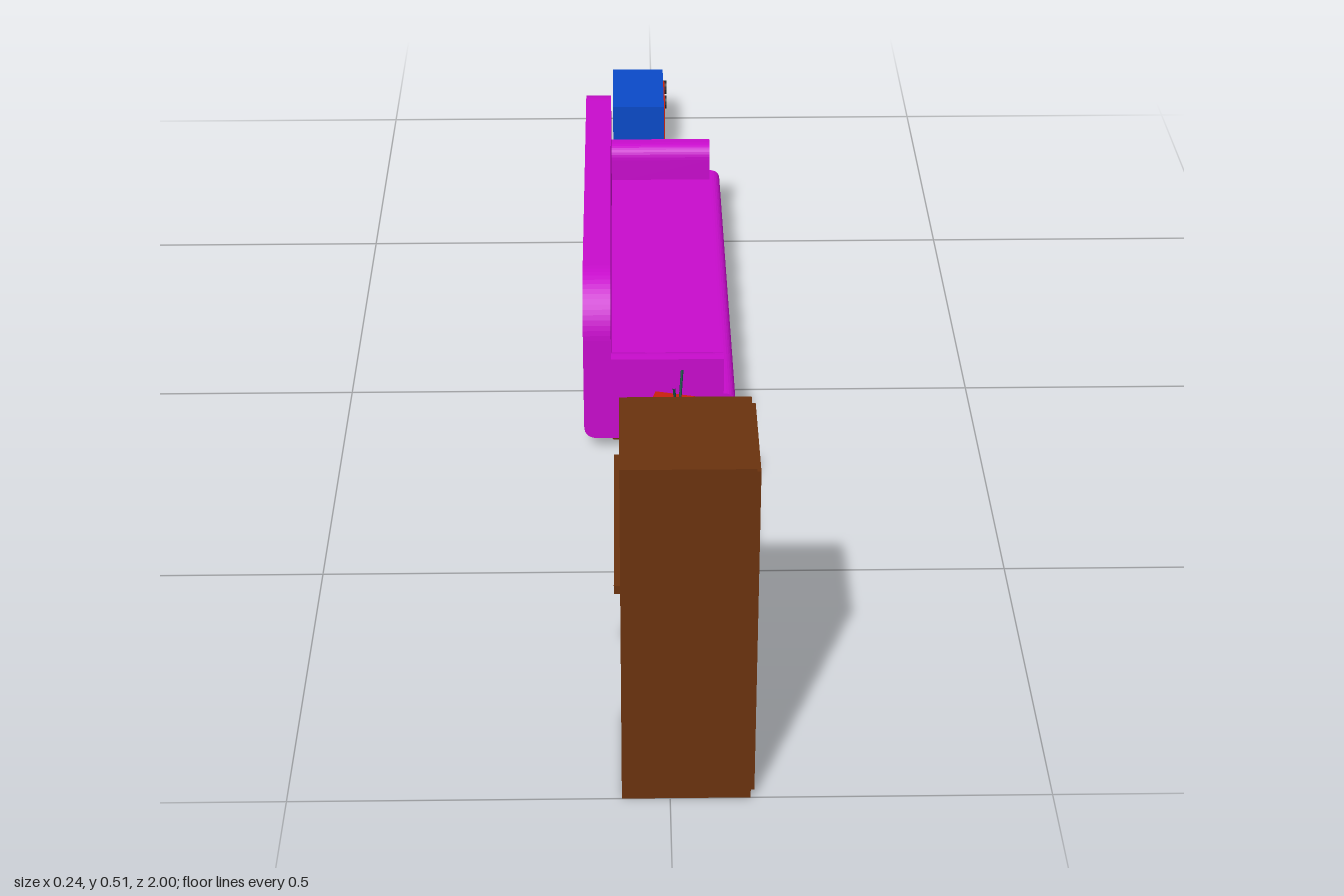
import * as THREE from 'three';

const paint = (color) => new THREE.MeshStandardMaterial({ color, flatShading: true });
const WOOD = paint(0x6a320e), PURPLE = paint(0xc80ccc), BLUE = paint(0x0a4ac8), RED = paint(0xc8200e),
  YELLOW = paint(0xc8c80e), TEAL = paint(0x0a9a7a), BLACK = paint(0x22262a), GREEN = paint(0x145044);

function add(parent, name, geometry, material, x = 0, y = 0, z = 0) {
  const mesh = new THREE.Mesh(geometry, material);
  mesh.name = name;
  mesh.position.set(x, y, z);
  parent.add(mesh);
  return mesh;
}

// Box given by its low and high corners
function box(parent, name, material, [x0, y0, z0], [x1, y1, z1]) {
  return add(parent, name, new THREE.BoxGeometry(x1 - x0, y1 - y0, z1 - z0), material,
    (x0 + x1) / 2, (y0 + y1) / 2, (z0 + z1) / 2);
}

function group(parent, name, x = 0, y = 0, z = 0) {
  const g = new THREE.Group();
  g.name = name;
  g.position.set(x, y, z);
  parent.add(g);
  return g;
}

const extrude = (shape, depth) =>
  new THREE.ExtrudeGeometry(shape, { depth, bevelEnabled: false, curveSegments: 8 });

// Extrusion running along +x, with the shape's horizontal axis along -z
const extrudeX = (shape, depth) => extrude(shape, depth).rotateY(Math.PI / 2);

// Round knob or dial facing +x
function knob(parent, name, material, r, depth, x, y, z) {
  add(parent, name, new THREE.CylinderGeometry(r, r, depth, 12).rotateZ(Math.PI / 2), material, x, y, z);
}

function buildWardrobe(root) {
  const g = group(root, 'wardrobe');
  box(g, 'wardrobeBody', WOOD, [-0.063, 0, 0.835], [0.105, 0.514, 1]);
  // double doors
  box(g, 'wardrobeDoorLeft', WOOD, [0.105, 0.009, 0.84], [0.11, 0.507, 0.9173]);
  box(g, 'wardrobeDoorRight', WOOD, [0.105, 0.009, 0.9177], [0.11, 0.507, 0.995]);
  for (const z of [0.893, 0.942]) knob(g, 'wardrobeKnob', WOOD, 0.007, 0.003, 0.1105, 0.37, z);
}

function buildTable(root) {
  const g = group(root, 'table');
  box(g, 'tableTop', WOOD, [-0.073, 0.083, 0.335], [0.11, 0.097, 0.667]);
  for (const x of [-0.055, 0.092])
    for (const z of [0.351, 0.653])
      box(g, 'tableLeg', WOOD, [x - 0.008, 0.004, z - 0.007], [x + 0.008, 0.083, z + 0.007]);
}

function buildTelevision(root) {
  const g = group(root, 'television', 0.021, 0.098, 0.429);
  g.rotation.y = -0.25;
  box(g, 'televisionBody', RED, [-0.053, 0, -0.081], [0.048, 0.112, 0.081]);
  // rim around the front
  const rim = new THREE.Shape([[-0.081, 0], [0.081, 0], [0.081, 0.112], [-0.081, 0.112]]
    .map((p) => new THREE.Vector2(...p)));
  rim.holes.push(new THREE.Path([[-0.077, 0.004], [-0.077, 0.108], [0.077, 0.108], [0.077, 0.004]]
    .map((p) => new THREE.Vector2(...p))));
  add(g, 'televisionRim', extrudeX(rim, 0.005), RED, 0.048);
  box(g, 'screenFrame', TEAL, [0.048, 0.004, -0.036], [0.051, 0.108, 0.077]);
  // screen: a grid bulging toward the viewer
  const screen = new THREE.PlaneGeometry(0.103, 0.09, 8, 8).rotateY(Math.PI / 2);
  const p = screen.attributes.position;
  for (let i = 0; i < p.count; i++) {
    const u = p.getZ(i) / 0.0515, v = p.getY(i) / 0.045;
    p.setX(i, 0.008 * (1 - u * u) * (1 - v * v));
  }
  screen.computeVertexNormals();
  add(g, 'screen', screen, YELLOW, 0.0515, 0.057, 0.0205);
  box(g, 'controlPanel', BLACK, [0.048, 0.004, -0.077], [0.0515, 0.108, -0.036]);
  for (const y of [0.09, 0.064]) knob(g, 'televisionDial', BLACK, 0.009, 0.006, 0.054, y, -0.057);

  // antenna
  add(g, 'antennaBase', new THREE.SphereGeometry(0.014, 12, 6, 0, Math.PI * 2, 0, Math.PI / 2), BLACK, 0, 0.112, 0);
  for (const s of [-1, 1]) {
    const rod = new THREE.LineCurve3(new THREE.Vector3(0, 0.115, s * 0.004), new THREE.Vector3(0, 0.19, s * 0.026));
    add(g, 'antennaRod', new THREE.TubeGeometry(rod, 1, 0.002, 6), GREEN);
  }
}

function buildSofa(root) {
  const half = 0.3775;
  const g = group(root, 'sofa', 0, 0, -0.2055);

  // seat block, rounded at the lower back and upper front
  const seat = new THREE.Shape();
  seat.moveTo(-0.098, 0.02);
  seat.lineTo(0.117, 0.02);
  seat.lineTo(0.117, 0.082);
  seat.quadraticCurveTo(0.117, 0.101, 0.098, 0.101);
  seat.lineTo(-0.12, 0.101);
  seat.lineTo(-0.12, 0.042);
  seat.quadraticCurveTo(-0.12, 0.02, -0.098, 0.02);
  add(g, 'sofaSeat', extrude(seat, 2 * half), PURPLE, 0, 0, -half);

  // backrest with rounded upper corners
  const r = 0.085, top = 0.283;
  const back = new THREE.Shape();
  back.moveTo(-half, 0.101);
  back.lineTo(half, 0.101);
  back.lineTo(half, top - r);
  back.absarc(half - r, top - r, r, 0, Math.PI / 2);
  back.absarc(-half + r, top - r, r, Math.PI / 2, Math.PI);
  add(g, 'sofaBack', extrudeX(back, 0.043), PURPLE, -0.12);

  // arms, rounded on the inner edge
  for (const s of [-1, 1]) {
    const arm = new THREE.Shape();
    arm.moveTo(s * half, 0.095);
    arm.lineTo(s * half, 0.164);
    arm.lineTo(s * (half - 0.012), 0.164);
    arm.quadraticCurveTo(s * (half - 0.036), 0.164, s * (half - 0.036), 0.14);
    arm.lineTo(s * (half - 0.036), 0.095);
    add(g, 'sofaArm', extrudeX(arm, 0.176), PURPLE, -0.078);
    for (const x of [-0.07, 0.065])
      add(g, 'sofaFoot', new THREE.CylinderGeometry(0.009, 0.007, 0.021, 10), WOOD, x, 0.0105, s * 0.345);
  }
}

function buildMicrowave(root) {
  const g = group(root, 'microwave');
  box(g, 'microwaveBody', BLUE, [-0.075, 0.003, -1], [0.021, 0.105, -0.835]);
  box(g, 'microwaveDoor', RED, [0.021, 0.011, -0.963], [0.0235, 0.098, -0.841]);
  for (const y of [0.076, 0.044]) knob(g, 'microwaveDial', BLACK, 0.013, 0.007, 0.0245, y, -0.981);
}

export function createModel() {
  const root = new THREE.Group();
  root.name = 'livingRoomFurniture';
  buildWardrobe(root);
  buildTable(root);
  buildTelevision(root);
  buildSofa(root);
  buildMicrowave(root);
  return root;
}
